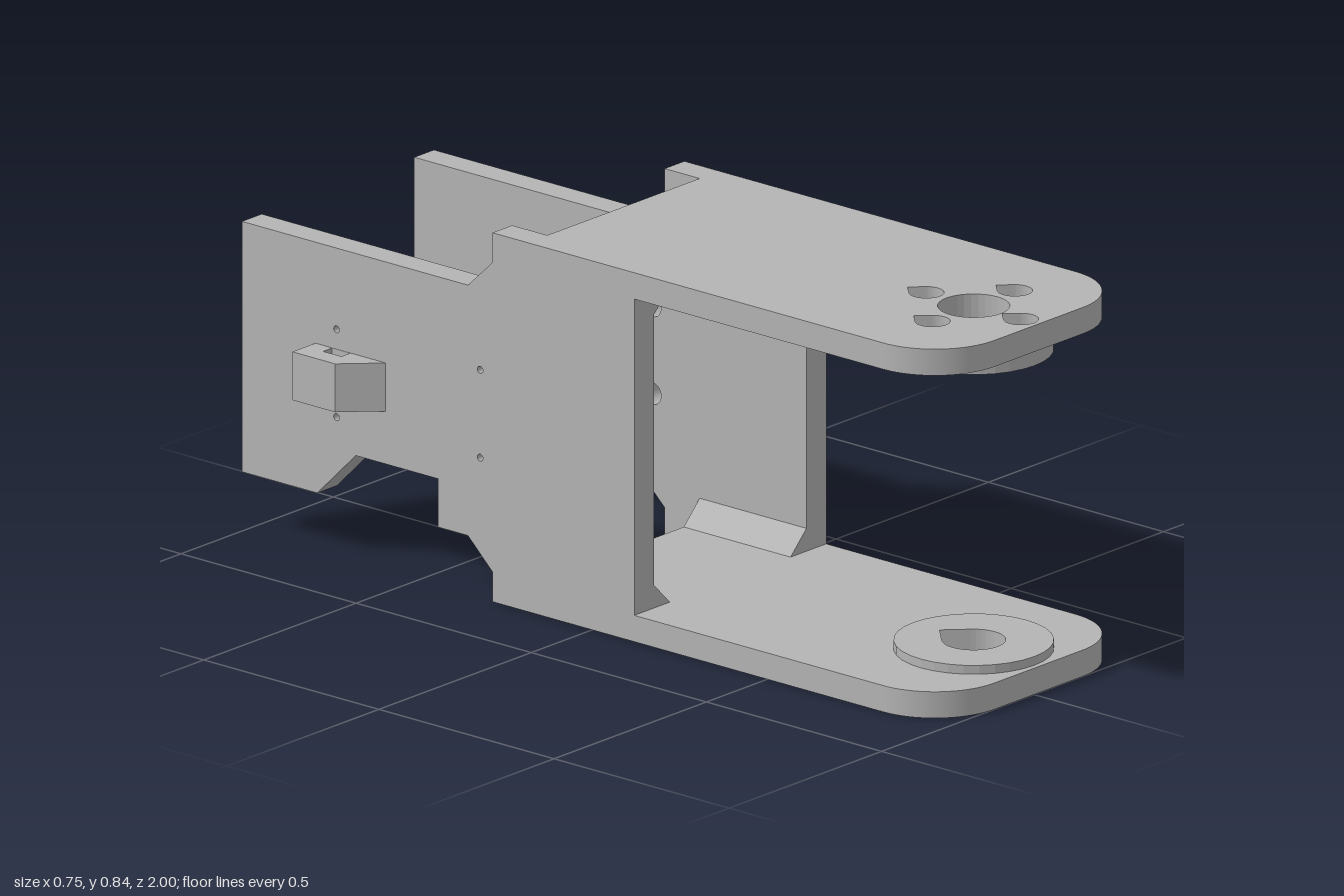
import * as THREE from 'three';

const CX = 0.015;          // middle of the bracket in x
const HUB_Z = 0.815;       // pivot axis in z
const L = -0.3, R = 0.33;  // outer faces
const WALL = 0.065;        // side wall thickness
const H = 0.84, PLATE = 0.06;

// Closed outlines: circle, or teardrop whose tip points along angle dir
const circle = (x, y, r, C = THREE.Path) => new C().absarc(x, y, r, 0, Math.PI * 2, false);
function teardrop(x, y, r, dir, C = THREE.Path) {
  const p = new C();
  p.absarc(x, y, r, dir + Math.PI / 4, dir + Math.PI * 7 / 4, false);
  p.lineTo(x + Math.cos(dir) * r * Math.SQRT2, y + Math.sin(dir) * r * Math.SQRT2);
  p.closePath();
  return p;
}

export function createModel() {
  const group = new THREE.Group();
  const grey = new THREE.MeshStandardMaterial({ color: 0xb4b4b4 });
  grey.name = 'grey plastic';

  const add = (name, geometry) => {
    const mesh = new THREE.Mesh(geometry, grey);
    mesh.name = name;
    group.add(mesh);
  };
  const extrude = (shape, holes, depth) => {
    shape.holes.push(...holes);
    return new THREE.ExtrudeGeometry(shape, { depth, bevelEnabled: false, curveSegments: 16 });
  };
  // Horizontal slab: shape is drawn in (x, -z)
  const slab = (name, shape, holes, y0, y1) =>
    add(name, extrude(shape, holes, y1 - y0).rotateX(-Math.PI / 2).translate(0, y0, 0));
  // Upright slab: shape is drawn in (-z, y)
  const upright = (name, shape, holes, x0, x1) =>
    add(name, extrude(shape, holes, x1 - x0).rotateY(Math.PI / 2).translate(x0, 0, 0));

  // Arm plate with rounded front corners, narrowed to fit between the walls
  const armShape = () => {
    const s = new THREE.Shape(), r = 0.17;
    s.moveTo(L, -0.12);
    s.lineTo(L, -1 + r);
    s.absarc(L + r, -1 + r, r, Math.PI, Math.PI * 1.5, false);
    s.lineTo(R - r, -1);
    s.absarc(R - r, -1 + r, r, Math.PI * 1.5, Math.PI * 2, false);
    s.lineTo(R, -0.12);
    s.lineTo(R - WALL, -0.12);
    s.lineTo(R - WALL, 0.185);
    s.lineTo(L + WALL, 0.185);
    s.lineTo(L + WALL, -0.12);
    s.closePath();
    return s;
  };
  const discShape = () => circle(CX, -HUB_Z, 0.173, THREE.Shape);
  const screws = (make) => [[0, 1], [0, -1], [1, 0], [-1, 0]]
    .map(([a, b]) => make(CX + a * 0.135, -HUB_Z + b * 0.135));
  const smallScrews = () => screws((x, y) => circle(x, y, 0.022));
  const topBore = () => circle(CX, -HUB_Z, 0.078);
  const bottomBore = () => teardrop(CX, -HUB_Z, 0.069, Math.PI / 2);

  // Upper arm: wide screw recesses in the plate, narrow holes in the disc
  slab('upperArm', armShape(),
    [topBore(), ...screws((x, y) => teardrop(x, y, 0.038, Math.PI / 2))], H - PLATE, H);
  slab('upperDisc', discShape(), [topBore(), ...smallScrews()], 0.742, H - PLATE);

  // Lower arm: screw holes are blind from below
  slab('lowerArm', armShape(), [bottomBore(), ...smallScrews()], 0, 0.05);
  slab('lowerArmFloor', armShape(), [bottomBore()], 0.05, PLATE);
  slab('lowerDisc', discShape(), [bottomBore()], PLATE, 0.08);

  // Side walls
  const wallShape = () => new THREE.Shape([
    [-0.12, 0], [0.285, 0], [0.285, 0.068], [0.355, 0.135], [0.44, 0.135], [0.44, 0.245],
    [0.675, 0.245], [0.785, 0.135], [1, 0.135], [1, 0.705], [0.355, 0.705],
    [0.285, 0.772], [0.285, H], [-0.12, H],
  ].map(([x, y]) => new THREE.Vector2(x, y)));
  const wallHoles = (r) => [0.32, 0.73].flatMap((z) => [0.32, 0.52].map((y) => circle(z, y, r)));
  const bossZ = [0.42, 0.575], bossY = 0.42;
  const bossHole = (z) => circle(z, bossY, 0.02);

  upright('leftWall', wallShape(), [...wallHoles(0.025), ...bossZ.map(bossHole)], R - WALL, R);
  upright('rightWallInner', wallShape(), wallHoles(0.025), L + 0.02, L + WALL);
  upright('rightWallOuter', wallShape(), wallHoles(0.008), L, L + 0.02);

  // Teardrop bosses on the left wall
  for (const z of bossZ) {
    upright('boss', teardrop(z, bossY, 0.057, Math.PI, THREE.Shape), [bossHole(z)], R, 0.372);
  }

  // Cable loop on the right wall
  const loop = new THREE.Shape([
    [L, 0.59], [L, 0.79], [-0.376, 0.79], [-0.376, 0.668],
  ].map(([x, y]) => new THREE.Vector2(x, y)));
  const slot = new THREE.Path([
    [-0.33, 0.69], [-0.301, 0.69], [-0.301, 0.742], [-0.33, 0.742],
  ].map(([x, y]) => new THREE.Vector2(x, y)));
  slab('cableLoop', loop, [slot], 0.365, 0.475);

  // Triangular gussets in the four inner corners
  for (const sx of [-1, 1]) {
    for (const top of [false, true]) {
      const x = sx < 0 ? L + WALL : R - WALL;
      const y = top ? H - PLATE : PLATE, dy = top ? -0.052 : 0.052;
      const tri = new THREE.Shape([
        new THREE.Vector2(x, y), new THREE.Vector2(x - sx * 0.052, y), new THREE.Vector2(x, y + dy),
      ]);
      add('gusset', extrude(tri, [], 0.305).translate(0, 0, -0.185));
    }
  }
  return group;
}
